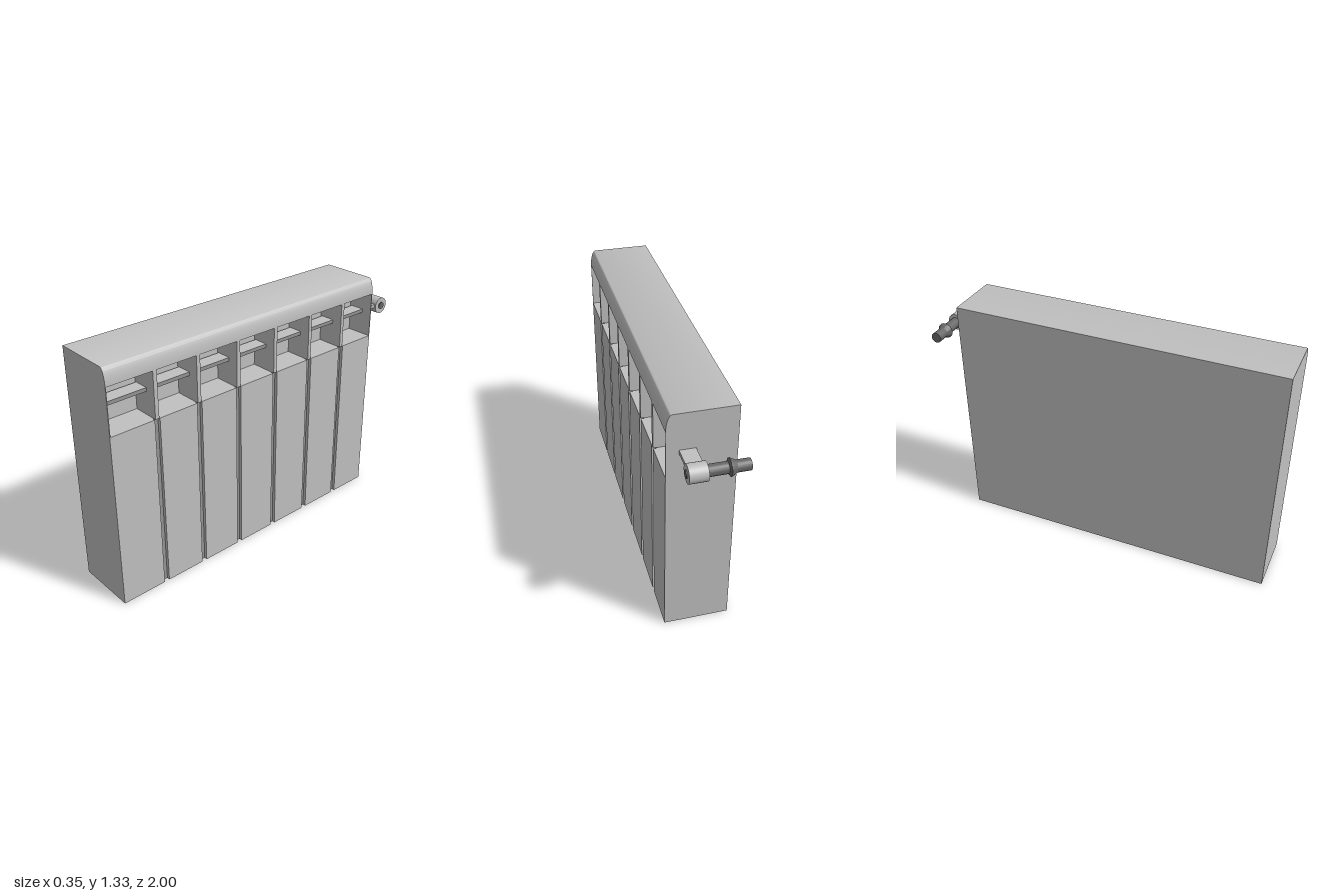
import * as THREE from 'three';
import { toCreasedNormals } from 'three/addons/utils/BufferGeometryUtils.js';

export function createModel() {
  const group = new THREE.Group();
  const mat = (name, color, side = THREE.FrontSide) => {
    const m = new THREE.MeshStandardMaterial({ color, side });
    m.name = name;
    return m;
  };
  const enamel = mat('light grey enamel', 0xc0c0c0);
  const shade = mat('mid grey', 0x949494);
  const dark = mat('dark grey', 0x686868);

  const add = (name, geo, m) => {
    const mesh = new THREE.Mesh(geo, m);
    mesh.name = name;
    group.add(mesh);
    return mesh;
  };
  // Box given by its limits on each axis
  const box = (name, x0, x1, y0, y1, z0, z1, m = enamel) =>
    add(name, new THREE.BoxGeometry(x1 - x0, y1 - y0, z1 - z0), m)
      .position.set((x0 + x1) / 2, (y0 + y1) / 2, (z0 + z1) / 2);

  const xb = -0.171, xf = 0.173;      // back and front of the body
  const zb = -0.8, zf = 1;            // two ends of the body
  const top = 1.327, lip = 1.235, sill = 0.98;
  const grooveX = xf - 0.02, recessX = 0.02;

  // Body: side profile with the vent recess and the rounded top edge
  const s = new THREE.Shape();
  s.moveTo(xb, 0);
  s.lineTo(grooveX, 0);
  s.lineTo(grooveX, sill);
  s.lineTo(recessX, sill);
  s.lineTo(recessX, lip);
  s.lineTo(xf, lip);
  s.absellipse(xf - 0.031, lip, 0.031, top - lip, 0, Math.PI / 2, false);
  s.lineTo(xb, top);
  s.closePath();
  const bodyGeo = new THREE.ExtrudeGeometry(s, { depth: zf - zb, bevelEnabled: false, curveSegments: 14 });
  bodyGeo.translate(0, 0, zb);
  add('body', toCreasedNormals(bodyGeo, 0.6), enamel);

  // Front panels, with grooves and vent dividers between them
  const pitch = 0.2572, first = 0.731, half = 0.015;
  const grooves = Array.from({ length: 6 }, (_, i) => first - i * pitch);
  const edges = [zf + half, ...grooves, zb - half];
  for (let i = 0; i < 7; i++) {
    box('frontPanel', grooveX, xf, 0, sill, edges[i + 1] + half, edges[i] - half);
  }
  for (const z of grooves) {
    box('grooveFloor', grooveX, grooveX + 0.002, 0, sill, z - half, z + half, shade);
    box('ventDivider', recessX, xf, sill, lip, z - 0.011, z + 0.011);
  }

  // Thin walls closing the vent recess at both ends
  box('endWall', recessX, xf, sill, lip, zf - 0.004, zf);
  box('endWall', recessX, xf, sill, lip, zb, zb + 0.004);

  // Flat pipe running through the vents and out to the valve
  box('pipe', 0.03, 0.11, 1.108, 1.128, -0.93, zf - 0.004);
  box('pipeFront', 0.11, 0.112, 1.108, 1.128, zb + 0.004, zf - 0.004, shade);

  // Valve head, with its axis along x
  const valveY = 1.113, valveZ = -0.953;
  const rodX = (name, r, x0, x1, m) => {
    const g = new THREE.CylinderGeometry(r, r, x1 - x0, 28);
    g.rotateZ(-Math.PI / 2);
    add(name, g, m).position.set((x0 + x1) / 2, valveY, valveZ);
  };
  rodX('valveHead', 0.047, 0.027, 0.118, enamel);
  rodX('valvePin', 0.02, 0.1, 0.124, dark);

  // Control stem with a flared collar
  const profile = [[0, -0.175], [0.029, -0.175], [0.029, -0.108], [0.043, -0.083],
    [0.043, -0.078], [0.029, -0.07], [0.029, 0.03]];
  const stem = new THREE.LatheGeometry(profile.map(([r, x]) => new THREE.Vector2(r, x)), 28);
  stem.rotateZ(-Math.PI / 2);
  add('valveStem', toCreasedNormals(stem, 0.4), dark).position.set(0, valveY, valveZ);

  return group;
}
